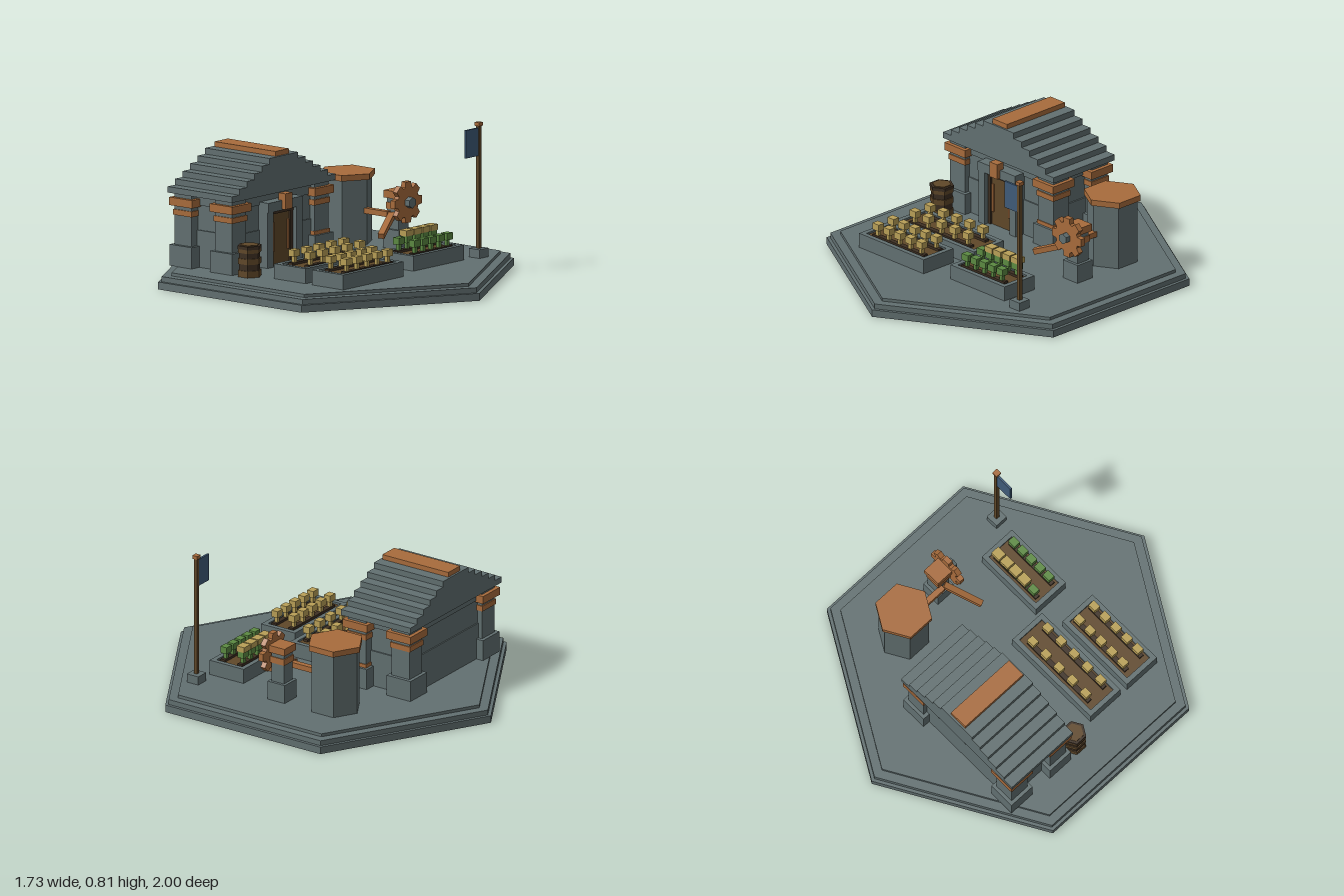
import * as THREE from 'three';

const mat = (name, color) => {
  const m = new THREE.MeshStandardMaterial({ color });
  m.name = name;
  return m;
};

export function createModel() {
  const model = new THREE.Group();
  model.name = 'farmstead';
  const stone = mat('stone', 0x627071), copper = mat('copper', 0xa86c3c);
  const wood = mat('wood', 0x604829), darkWood = mat('dark wood', 0x3d2f22);
  const grain = mat('grain', 0xb9a057), leaf = mat('leaf', 0x5c8a42), cloth = mat('blue cloth', 0x3f5b79);

  const add = (parent, name, geo, m) => {
    const mesh = new THREE.Mesh(geo, m);
    mesh.name = name;
    parent.add(mesh);
    return mesh;
  };
  const group = (name) => {
    const g = new THREE.Group();
    g.name = name;
    model.add(g);
    return g;
  };
  // Box given by its extents
  const box = (parent, name, m, x0, x1, y0, y1, z0, z1) => {
    const mesh = add(parent, name, new THREE.BoxGeometry(x1 - x0, y1 - y0, z1 - z0), m);
    mesh.position.set((x0 + x1) / 2, (y0 + y1) / 2, (z0 + z1) / 2);
    return mesh;
  };
  // Square block centred on x, z
  const block = (parent, name, m, x, z, half, y0, y1) =>
    box(parent, name, m, x - half, x + half, y0, y1, z - half, z + half);
  // Flat-shaded six-sided prism
  const hex = (parent, name, m, x, z, r, y0, y1) => {
    const geo = new THREE.CylinderGeometry(r, r, y1 - y0, 6).toNonIndexed();
    geo.computeVertexNormals();
    const mesh = add(parent, name, geo, m);
    mesh.position.set(x, (y0 + y1) / 2, z);
    return mesh;
  };
  const G = 0.085; // ground level on top of the base

  // Stepped base
  const base = group('base');
  hex(base, 'lowerSlab', stone, 0, 0, 1, 0, 0.04);
  hex(base, 'middleSlab', stone, 0, 0, 0.98, 0.04, 0.068);
  hex(base, 'topSlab', stone, 0, 0, 0.925, 0.068, G);

  // House walls in three courses
  const house = group('house');
  const cx = -0.24, cz = -0.383;
  [[G, 0.285, 0.35, 0.175], [0.285, 0.42, 0.342, 0.168], [0.42, 0.482, 0.35, 0.175]].forEach(([y0, y1, hx, hz]) =>
    box(house, 'wallCourse', stone, cx - hx, cx + hx, y0, y1, cz - hz, cz + hz));

  // Corner columns with copper collars
  for (const sx of [-1, 1]) for (const sz of [-1, 1]) {
    const x = cx + sx * 0.337, z = cz + sz * 0.141;
    block(house, 'columnBase', stone, x, z, 0.077, G, 0.2);
    block(house, 'columnShaft', stone, x, z, 0.058, 0.2, 0.482);
    block(house, 'columnCollar', copper, x, z, 0.064, 0.36, 0.39);
    block(house, 'columnCapital', copper, x, z, 0.079, 0.412, 0.455);
    if (sx > 0 && sz > 0) block(house, 'columnFootBand', copper, x, z, 0.063, 0.2, 0.22);
  }

  // Stepped roof as one extruded profile
  const profile = [];
  for (let i = 0; i < 6; i++) {
    const w = 0.424 - i * 0.0612, y = 0.48 + i * 0.0325;
    profile.push([w, y], [w, y + 0.0325]);
  }
  const outline = [...profile, ...profile.slice().reverse().map(([x, y]) => [-x, y])];
  const roofShape = new THREE.Shape(outline.map(([x, y]) => new THREE.Vector2(x, y)));
  const roof = add(house, 'roof', new THREE.ExtrudeGeometry(roofShape, { depth: 0.448, bevelEnabled: false }), stone);
  roof.position.set(cx, 0, cz - 0.224);
  box(house, 'roofRidge', copper, cx - 0.055, cx + 0.055, 0.665, 0.702, -0.596, -0.17);

  // Doorway
  const door = group('doorway');
  for (const s of [-1, 1]) {
    const x = cx + s * 0.118;
    box(door, 'doorJamb', stone, x - 0.024, x + 0.024, G, 0.385, -0.24, -0.15);
    box(door, 'doorEdge', darkWood, cx + s * 0.085 - 0.01, cx + s * 0.085 + 0.01, G, 0.385, -0.215, -0.175);
    box(door, 'doorHandle', copper, cx + s * 0.062 - 0.006, cx + s * 0.062 + 0.006, 0.16, 0.32, -0.195, -0.176);
  }
  box(door, 'doorLintel', stone, cx - 0.142, cx + 0.142, 0.385, 0.437, -0.24, -0.145);
  box(door, 'doorHead', darkWood, cx - 0.095, cx + 0.095, 0.365, 0.388, -0.215, -0.17);
  box(door, 'doorLeaf', wood, cx - 0.08, cx + 0.08, G, 0.37, -0.215, -0.185);
  box(door, 'keystone', copper, cx - 0.029, cx + 0.029, 0.39, 0.475, -0.17, -0.123);

  // Barrel
  const barrel = group('barrel');
  hex(barrel, 'barrelBody', darkWood, -0.6, -0.09, 0.06, G, 0.25);
  for (const [y0, y1] of [[G, 0.12], [0.155, 0.185], [0.215, 0.245]])
    hex(barrel, 'barrelBand', wood, -0.6, -0.09, 0.066, y0, y1);
  hex(barrel, 'barrelRim', darkWood, -0.6, -0.09, 0.067, 0.235, 0.253);
  hex(barrel, 'barrelLid', wood, -0.6, -0.09, 0.052, 0.25, 0.257);

  // Planters: stone frame, soil and two crop rows each
  const plant = (parent, x, z, m, y) => {
    block(parent, 'cropStem', m, x, z, 0.01, 0.16, y);
    box(parent, 'cropHead', m, x - 0.024, x + 0.024, y, y + 0.037, z - 0.02, z + 0.02);
  };
  const planter = (x0, x1, z0, z1) => {
    const g = group('planter'), t = 0.027;
    box(g, 'planterSide', stone, x0, x1, G, 0.166, z0, z0 + t);
    box(g, 'planterSide', stone, x0, x1, G, 0.166, z1 - t, z1);
    box(g, 'planterEnd', stone, x0, x0 + t, G, 0.166, z0 + t, z1 - t);
    box(g, 'planterEnd', stone, x1 - t, x1, G, 0.166, z0 + t, z1 - t);
    box(g, 'soil', wood, x0 + t, x1 - t, G, 0.155, z0 + t, z1 - t);
    return g;
  };
  const row = (g, x0, step, n, z, m, y) => {
    box(g, 'furrow', darkWood, x0 - 0.03, x0 + step * (n - 1) + 0.03, 0.15, 0.168, z - 0.014, z + 0.014);
    for (let i = 0; i < n; i++) plant(g, x0 + step * i, z, m, y);
  };
  const backBed = planter(-0.572, 0.028, 0.058, 0.277);
  for (const z of [0.115, 0.225]) row(backBed, -0.475, 0.101, 5, z, grain, 0.2);
  const frontBed = planter(-0.575, -0.082, 0.322, 0.541);
  for (const z of [0.378, 0.487]) row(frontBed, -0.485, 0.083, 5, z, grain, 0.2);
  const sideBed = planter(0.064, 0.477, 0.265, 0.485);
  row(sideBed, 0.138, 0.066, 5, 0.43, leaf, 0.2);
  row(sideBed, 0.138, 0.066, 5, 0.32, leaf, 0.2);
  for (let i = 0; i < 4; i++) {
    const x = 0.205 + i * 0.066;
    box(sideBed, 'ripeHead', grain, x - 0.029, x + 0.029, 0.237, 0.268, 0.292, 0.342);
  }

  // Silo and the pipe to the mill post
  const silo = group('silo');
  hex(silo, 'siloBody', stone, 0.465, -0.32, 0.14, G, 0.44);
  hex(silo, 'siloCap', copper, 0.465, -0.32, 0.156, 0.438, 0.47);
  box(silo, 'siloPipe', copper, 0.45, 0.482, 0.255, 0.285, -0.22, -0.03);

  // Mill post
  const mill = group('mill');
  const px = 0.52, pz = -0.013;
  block(mill, 'postBase', stone, px, pz, 0.056, G, 0.188);
  block(mill, 'postShaft', stone, px, pz, 0.04, 0.188, 0.36);
  block(mill, 'postCollar', copper, px, pz, 0.045, 0.295, 0.33);
  block(mill, 'postCap', copper, px, pz, 0.053, 0.355, 0.395);

  // Gear with eight tapered teeth
  const gearShape = new THREE.Shape();
  for (let i = 0; i < 8; i++) {
    [[-0.3, 0.085], [-0.19, 0.113], [0.19, 0.113], [0.3, 0.085]].forEach(([d, r], k) => {
      const a = (i * Math.PI) / 4 + d;
      gearShape[i + k ? 'lineTo' : 'moveTo'](Math.cos(a) * r, Math.sin(a) * r);
    });
  }
  const gear = add(mill, 'gear', new THREE.ExtrudeGeometry(gearShape, { depth: 0.03, bevelEnabled: false }), copper);
  gear.position.set(0.515, 0.338, 0.035);
  const hub = hex(mill, 'gearHub', stone, 0.515, 0.06, 0.03, 0, 0.075);
  hub.rotation.x = Math.PI / 2;
  hub.position.set(0.515, 0.338, 0.057);

  // Slanted chute
  const from = new THREE.Vector3(0.475, 0.268, -0.015), to = new THREE.Vector3(0.28, 0.19, 0.075);
  const chute = add(mill, 'chute', new THREE.BoxGeometry(0.034, 0.03, from.distanceTo(to)), copper);
  chute.position.copy(from).lerp(to, 0.5);
  chute.lookAt(to);

  // Flag
  const flag = group('flag');
  block(flag, 'flagBase', stone, 0.595, 0.487, 0.037, G, 0.132);
  block(flag, 'flagPole', wood, 0.595, 0.487, 0.01, 0.13, 0.8);
  block(flag, 'flagFinial', copper, 0.595, 0.487, 0.016, 0.793, 0.812);
  box(flag, 'flagCloth', cloth, 0.485, 0.587, 0.632, 0.783, 0.481, 0.493);
  return model;
}
